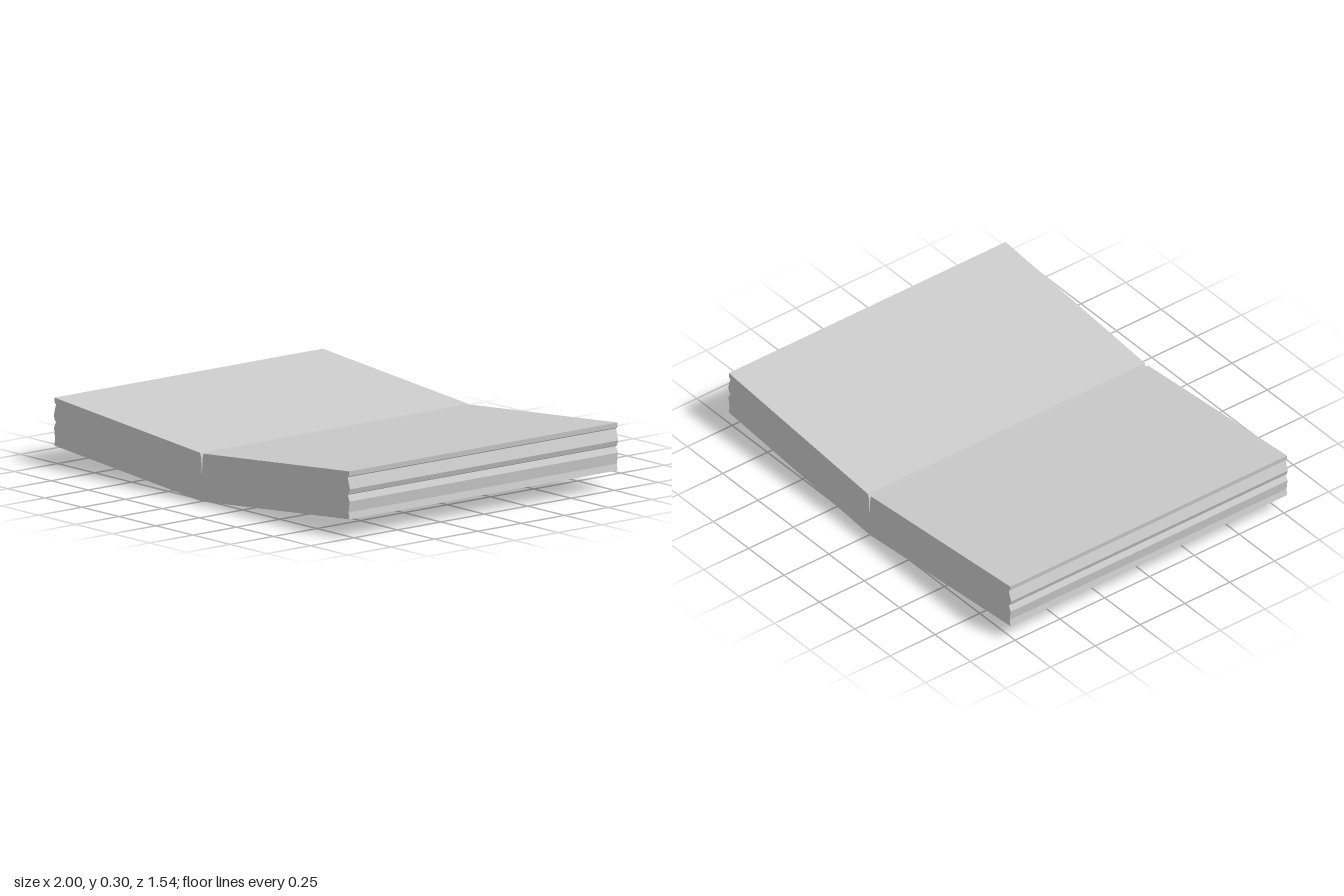
import * as THREE from 'three';

export function createModel() {
  const group = new THREE.Group();
  const depth = 1.545;

  // Right half of the cross-section: fore edge with page steps, from bottom to top
  const foreEdge = [
    [0.995, 0.085], [0.99, 0.115], [0.997, 0.165], [0.984, 0.193], [0.991, 0.197],
    [0.999, 0.22], [0.984, 0.272], [0.992, 0.277], [0.995, 0.3],
  ];
  // Narrow gutter between the two page blocks
  const gutter = [[0.012, 0.216], [0.005, 0.195], [0.0015, 0.125]];

  const half = [...foreEdge, ...gutter];
  const mirrored = half.map(([x, y]) => [-x, y]).reverse();
  const outline = [[0, 0], ...half, ...mirrored].map(([x, y]) => new THREE.Vector2(x, y));

  const geometry = new THREE.ExtrudeGeometry(new THREE.Shape(outline), {
    depth, bevelEnabled: false, steps: 1,
  });
  geometry.translate(0, 0, -depth / 2);

  const material = new THREE.MeshStandardMaterial({ color: 0xcccccc, flatShading: true });
  const pages = new THREE.Mesh(geometry, material);
  pages.name = 'openBookPages';
  group.add(pages);
  group.name = 'openBook';
  return group;
}
